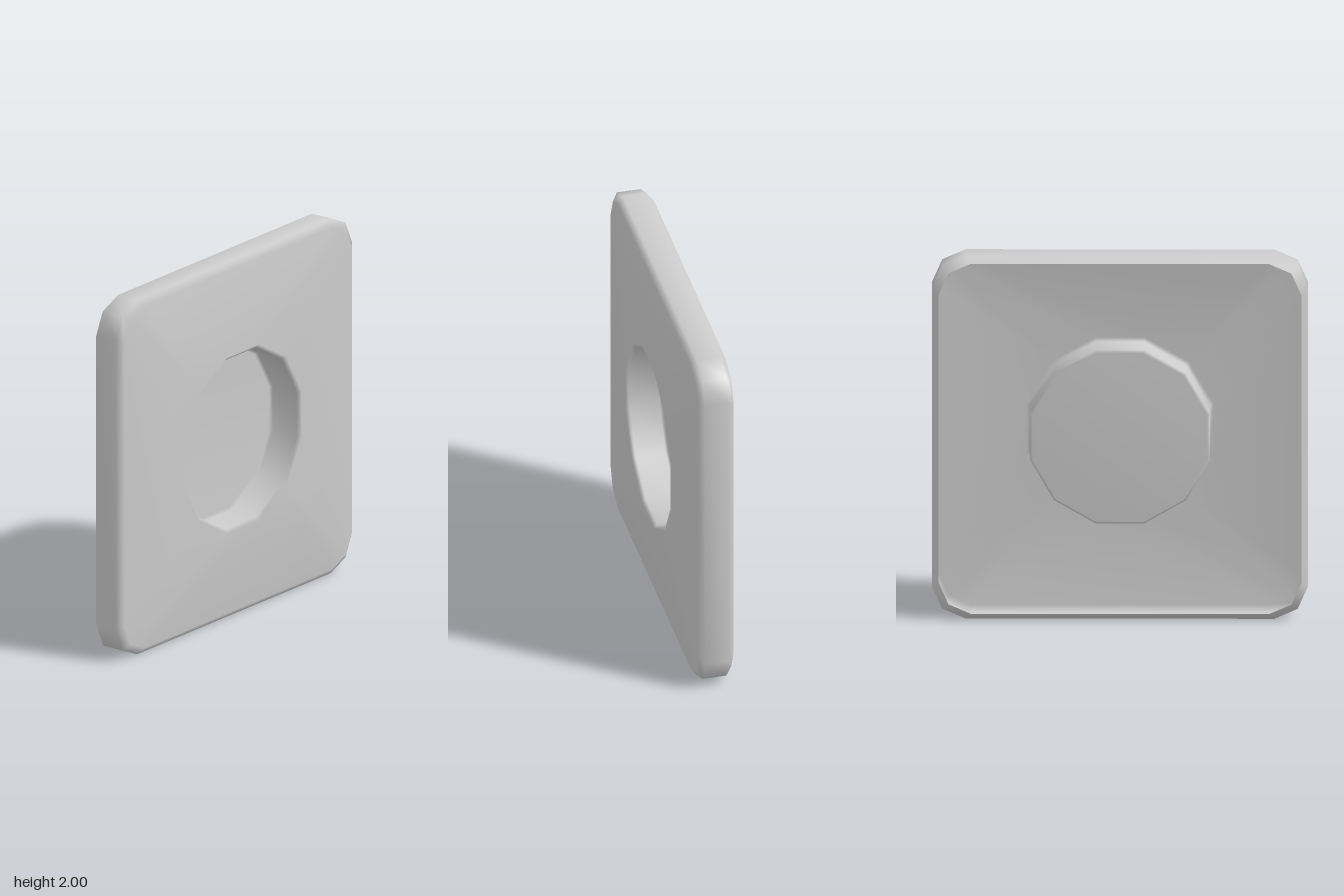
import * as THREE from 'three';

const SIDES = 12;

// square with three-point rounded corners, twelve corners counter-clockwise
function squareLoop(scale, z) {
  const corner = [[1, 0.82], [0.945, 0.945], [0.82, 1]];
  const loop = [];
  for (let q = 0; q < 4; q++) {
    const c = Math.round(Math.cos(q * Math.PI / 2)), s = Math.round(Math.sin(q * Math.PI / 2));
    for (const [x, y] of corner) loop.push([(x * c - y * s) * scale, (x * s + y * c) * scale, z]);
  }
  return loop;
}

// regular twelve-sided ring whose corners line up with the square loop
function roundLoop(radius, z) {
  return Array.from({ length: SIDES }, (_, i) => {
    const a = (i + 0.5) * Math.PI * 2 / SIDES;
    return [Math.cos(a) * radius, Math.sin(a) * radius, z];
  });
}

// skin a list of loops running from the outside to the centre
function skin(loops, centreZ) {
  const index = [];
  for (let r = 0; r < loops.length; r++) {
    for (let j = 0; j < SIDES; j++) {
      const k = (j + 1) % SIDES;
      const a = r * SIDES + j, b = r * SIDES + k;
      if (r < loops.length - 1) index.push(a, b, b + SIDES, a, b + SIDES, a + SIDES);
      else index.push(a, b, loops.length * SIDES);
    }
  }
  const geometry = new THREE.BufferGeometry();
  geometry.setAttribute('position',
    new THREE.Float32BufferAttribute([...loops.flat(2), 0, 0, centreZ], 3));
  geometry.setIndex(index);
  geometry.computeVertexNormals();
  return geometry;
}

export function createModel() {
  const group = new THREE.Group();
  const material = new THREE.MeshStandardMaterial({ color: 0xcccccc, side: THREE.DoubleSide });

  // open-backed shell: bevelled rim, shallow sloping face and recessed dish
  const loops = [
    squareLoop(0.965, -0.115),
    squareLoop(1, -0.08),
    squareLoop(1, 0.05),
    squareLoop(0.965, 0.08),
    roundLoop(0.515, 0.113),
    roundLoop(0.495, 0.095),
    roundLoop(0.495, -0.07),
    roundLoop(0.48, -0.085),
  ];
  const plate = new THREE.Mesh(skin(loops, -0.085), material);
  plate.name = 'dishedPlate';
  plate.position.y = 1;
  group.add(plate);
  return group;
}
